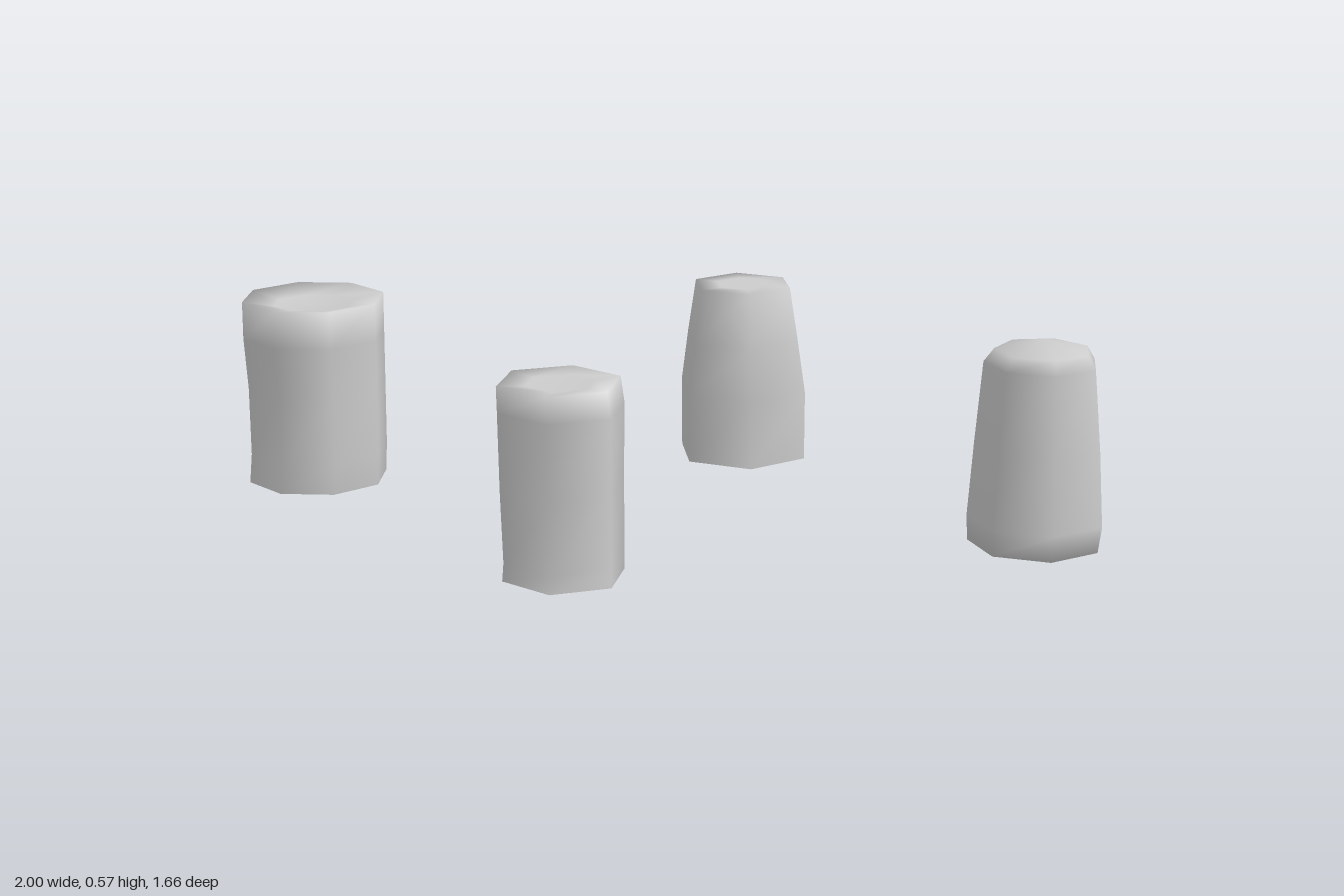
import * as THREE from 'three';

const material = new THREE.MeshStandardMaterial({ color: 0xcccccc, side: THREE.DoubleSide });

// Smooth post from rings [y, radius, x, z], closed by a top point and optionally a bottom point [y, x, z].
function makePost({ name, sides, turn, rings, top, bottom }) {
  const positions = [];
  const index = [];
  for (const [y, r, x, z] of rings) {
    for (let j = 0; j < sides; j++) {
      const a = turn + (j / sides) * Math.PI * 2;
      positions.push(x + r * Math.cos(a), y, z + r * Math.sin(a));
    }
  }
  const last = (rings.length - 1) * sides;
  const topIndex = rings.length * sides;
  positions.push(top[1], top[0], top[2]);
  if (bottom) positions.push(bottom[1], bottom[0], bottom[2]);

  for (let j = 0; j < sides; j++) {
    const k = (j + 1) % sides;
    for (let base = 0; base < last; base += sides) {
      const up = base + sides;
      index.push(base + j, up + j, base + k, base + k, up + j, up + k);
    }
    index.push(last + j, topIndex, last + k);
    if (bottom) index.push(j, k, topIndex + 1);
  }

  const geometry = new THREE.BufferGeometry();
  geometry.setAttribute('position', new THREE.Float32BufferAttribute(positions, 3));
  geometry.setIndex(index);
  geometry.computeVertexNormals();
  const mesh = new THREE.Mesh(geometry, material);
  mesh.name = name;
  return mesh;
}

const posts = [
  // Wide eight-sided post with a slightly sunken top, open below
  {
    name: 'backRightPost', sides: 8, turn: 0,
    rings: [
      [0.005, 0.196, -0.8, -0.632],
      [0.09, 0.194, -0.797, -0.62],
      [0.28, 0.195, -0.796, -0.627],
      [0.42, 0.2, -0.8, -0.63],
      [0.525, 0.2, -0.8, -0.63],
      [0.507, 0.11, -0.8, -0.63],
    ],
    top: [0.505, -0.8, -0.63],
  },
  // Narrow six-sided post, open below
  {
    name: 'frontRightPost', sides: 6, turn: 0,
    rings: [
      [0.012, 0.162, -0.408, 0.453],
      [0.06, 0.16, -0.406, 0.453],
      [0.25, 0.163, -0.41, 0.453],
      [0.45, 0.166, -0.411, 0.453],
      [0.518, 0.162, -0.416, 0.45],
      [0.512, 0.09, -0.414, 0.45],
    ],
    top: [0.512, -0.414, 0.45],
  },
  // Tapered six-sided post, open below
  {
    name: 'backLeftPost', sides: 6, turn: -0.29,
    rings: [
      [0.013, 0.192, 0.416, -0.455],
      [0.21, 0.193, 0.414, -0.452],
      [0.36, 0.171, 0.412, -0.452],
      [0.512, 0.146, 0.411, -0.452],
      [0.512, 0.08, 0.411, -0.452],
    ],
    top: [0.512, 0.411, -0.452],
  },
  // Tapered seven-sided post with a peaked top and closed base
  {
    name: 'frontLeftPost', sides: 7, turn: 0,
    rings: [
      [0.016, 0.12, 0.815, 0.645],
      [0.03, 0.176, 0.814, 0.645],
      [0.1, 0.182, 0.816, 0.648],
      [0.3, 0.168, 0.816, 0.648],
      [0.51, 0.149, 0.815, 0.646],
      [0.545, 0.125, 0.818, 0.645],
    ],
    top: [0.572, 0.82, 0.642],
    bottom: [0.013, 0.815, 0.645],
  },
];

export function createModel() {
  const group = new THREE.Group();
  group.name = 'posts';
  for (const post of posts) group.add(makePost(post));
  return group;
}
